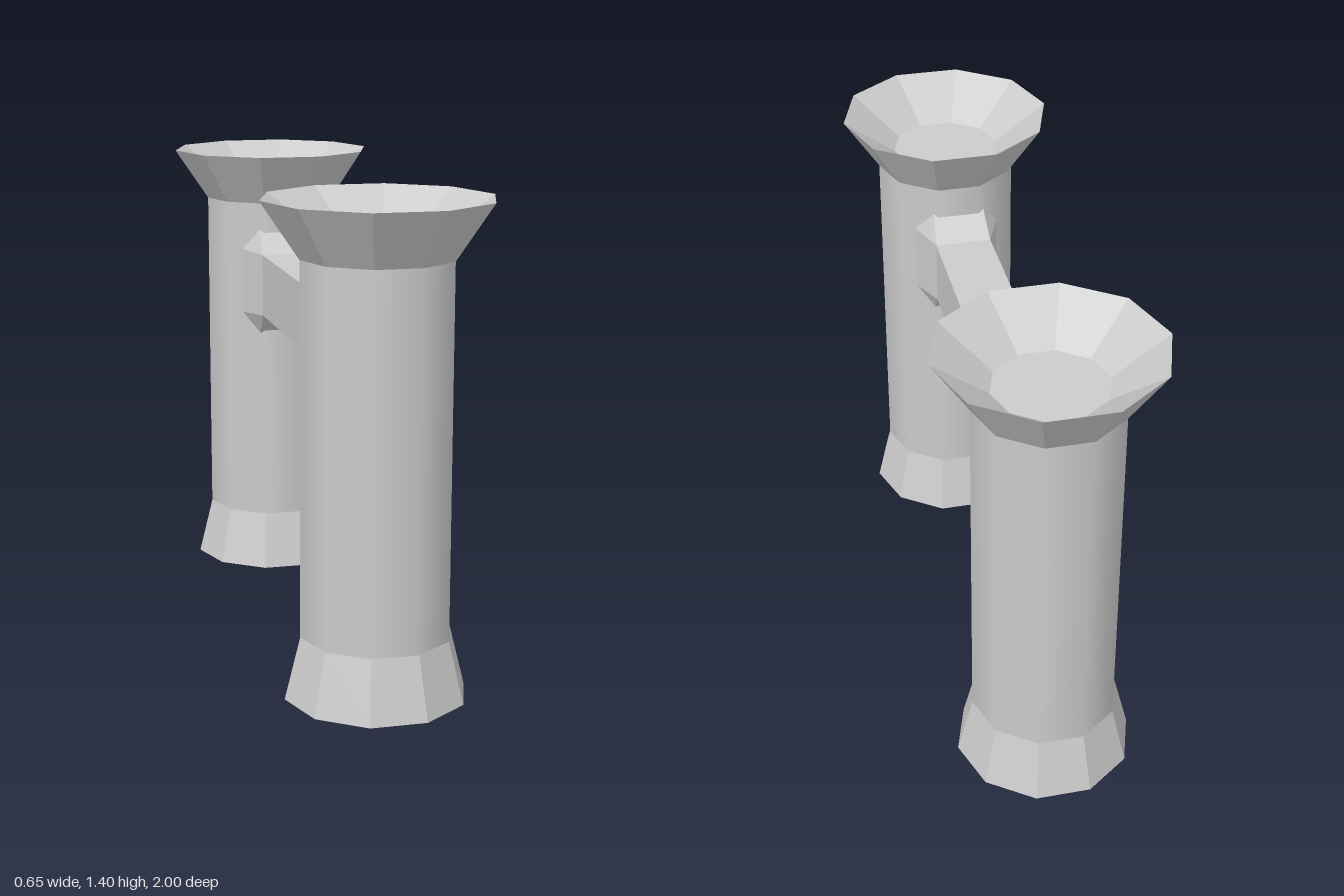
import * as THREE from 'three';

const SIDES = 10;
const flat = new THREE.MeshStandardMaterial({ color: 0xcccccc, flatShading: true });
const smooth = new THREE.MeshStandardMaterial({ color: 0xcccccc });

// Ten-sided turned part with a corner on +x; profile is [radius, y] from bottom to top
function turned(name, profile, material) {
  const points = profile.map(([r, y]) => new THREE.Vector2(r, y));
  const mesh = new THREE.Mesh(new THREE.LatheGeometry(points, SIDES, Math.PI / 2), material);
  mesh.name = name;
  return mesh;
}

function createPost(name, z) {
  const post = new THREE.Group();
  post.name = name;
  post.position.z = z;
  post.add(
    // flared foot with a shallow recess underneath
    turned('foot', [[0, 0.055], [0.075, 0.055], [0.262, 0], [0.217, 0.18]], flat),
    // smooth shaft
    turned('shaft', [[0.217, 0.18], [0.217, 1.24]], smooth),
    // flared cup with a sloping inside and flat floor
    turned('cup', [[0.217, 1.24], [0.325, 1.4], [0.165, 1.285], [0, 1.285]], flat)
  );
  return post;
}

// Crossbar: eight-point rings; the corners of the bar split in two at the flared collars
function createCrossbar() {
  const ring = (sideX, sideY, sideZ, topX, topY, topZ, s) => {
    const side = (x, y) => new THREE.Vector3(x * sideX, y * sideY, s * sideZ);
    const top = (x, y) => new THREE.Vector3(x * topX, y * topY, s * topZ);
    return [side(1, -1), side(1, 1), top(1, 1), top(-1, 1),
      side(-1, 1), side(-1, -1), top(-1, -1), top(1, -1)];
  };
  const collar = s => ring(0.133, 0.106, 0.533, 0.08, 0.176, 0.496, s);
  const bar = s => ring(0.087, 0.1, 0.42, 0.087, 0.1, 0.42, s);
  const rings = [collar(-1), bar(-1), bar(1), collar(1)];

  const positions = [];
  const triangle = (a, b, c) => {
    if (new THREE.Triangle(a, b, c).getArea() < 1e-6) return;
    for (const p of [a, b, c]) positions.push(p.x, p.y, p.z);
  };
  for (let r = 0; r < rings.length - 1; r++) {
    for (let i = 0; i < 8; i++) {
      const j = (i + 1) % 8;
      const [a, b, c, d] = [rings[r][i], rings[r][j], rings[r + 1][j], rings[r + 1][i]];
      triangle(a, b, c);
      triangle(a, c, d);
    }
  }
  const geometry = new THREE.BufferGeometry();
  geometry.setAttribute('position', new THREE.Float32BufferAttribute(positions, 3));
  geometry.computeVertexNormals();
  const mesh = new THREE.Mesh(geometry, flat);
  mesh.name = 'crossbar';
  mesh.position.y = 0.98;
  return mesh;
}

export function createModel() {
  const model = new THREE.Group();
  model.name = 'twinPosts';
  model.add(createPost('frontPost', 0.69), createPost('backPost', -0.69), createCrossbar());
  return model;
}
